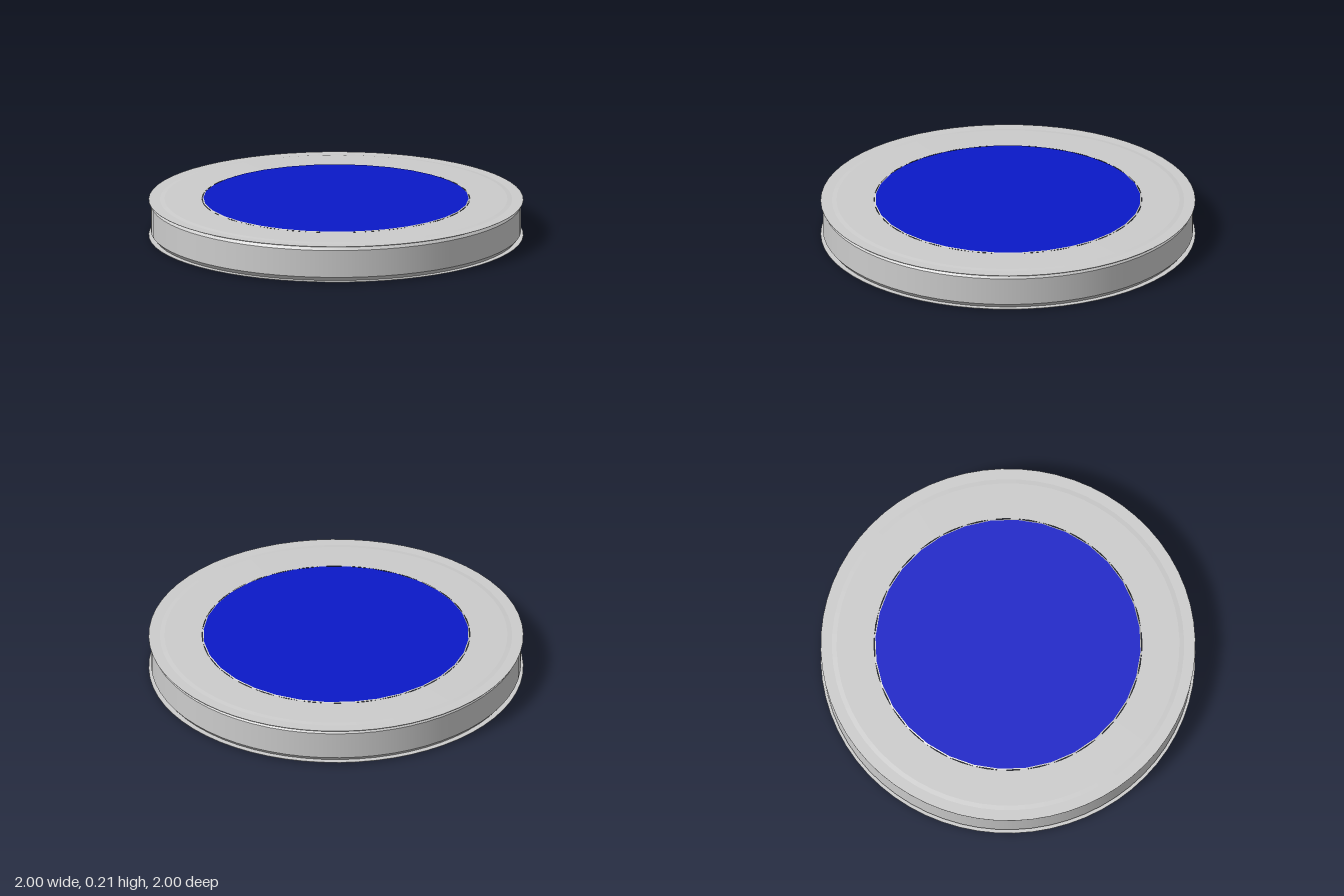
import * as THREE from 'three';
import { mergeGeometries } from 'three/addons/utils/BufferGeometryUtils.js';

const HEIGHT = 0.21;

// Revolve a profile one band at a time: smooth around, sharp between bands.
function creasedLathe(profile, sides) {
  const bands = [];
  for (let i = 0; i < profile.length - 1; i++) {
    const pair = [profile[i], profile[i + 1]].map(([r, y]) => new THREE.Vector2(r, y));
    bands.push(new THREE.LatheGeometry(pair, sides));
  }
  return mergeGeometries(bands);
}

// Swap a profile top to bottom, keeping it running upwards.
const mirrored = (profile) => profile.map(([r, y]) => [r, HEIGHT - y]).reverse();

export function createModel() {
  const model = new THREE.Group();
  model.name = 'disc';
  const grey = new THREE.MeshStandardMaterial({ color: 0xcccccc });
  const blue = new THREE.MeshStandardMaterial({ color: 0x0a18c8 });

  function add(name, geometry, material) {
    const mesh = new THREE.Mesh(geometry, material);
    mesh.name = name;
    model.add(mesh);
  }

  // Round body with a bevel above and below the straight wall
  const bevel = [[0.988, 0.179], [0.97, 0.201]];
  add('body', creasedLathe([...mirrored(bevel), ...bevel], 64), grey);

  // Thin faces overhanging the wall, stepping up to a shallow raised field
  const face = [
    [0.96, 0.201], [1, 0.201], [1, 0.203], [0.94, 0.203],
    [0.915, 0.206], [0.715, 0.2065],
  ];
  add('topFace', creasedLathe(face, 64), grey);
  add('bottomFace', creasedLathe(mirrored(face), 64), grey);

  // Centre panels: blue on top, grey underneath
  const rim = [[0.715, 0.2065], [0.708, HEIGHT]];
  const panel = [[0.708, HEIGHT], [0, HEIGHT]];
  add('topPanelRim', creasedLathe(rim, 32), grey);
  add('topPanel', creasedLathe(panel, 32), blue);
  add('bottomPanelRim', creasedLathe(mirrored(rim), 32), grey);
  add('bottomPanel', creasedLathe(mirrored(panel), 32), grey);

  return model;
}
